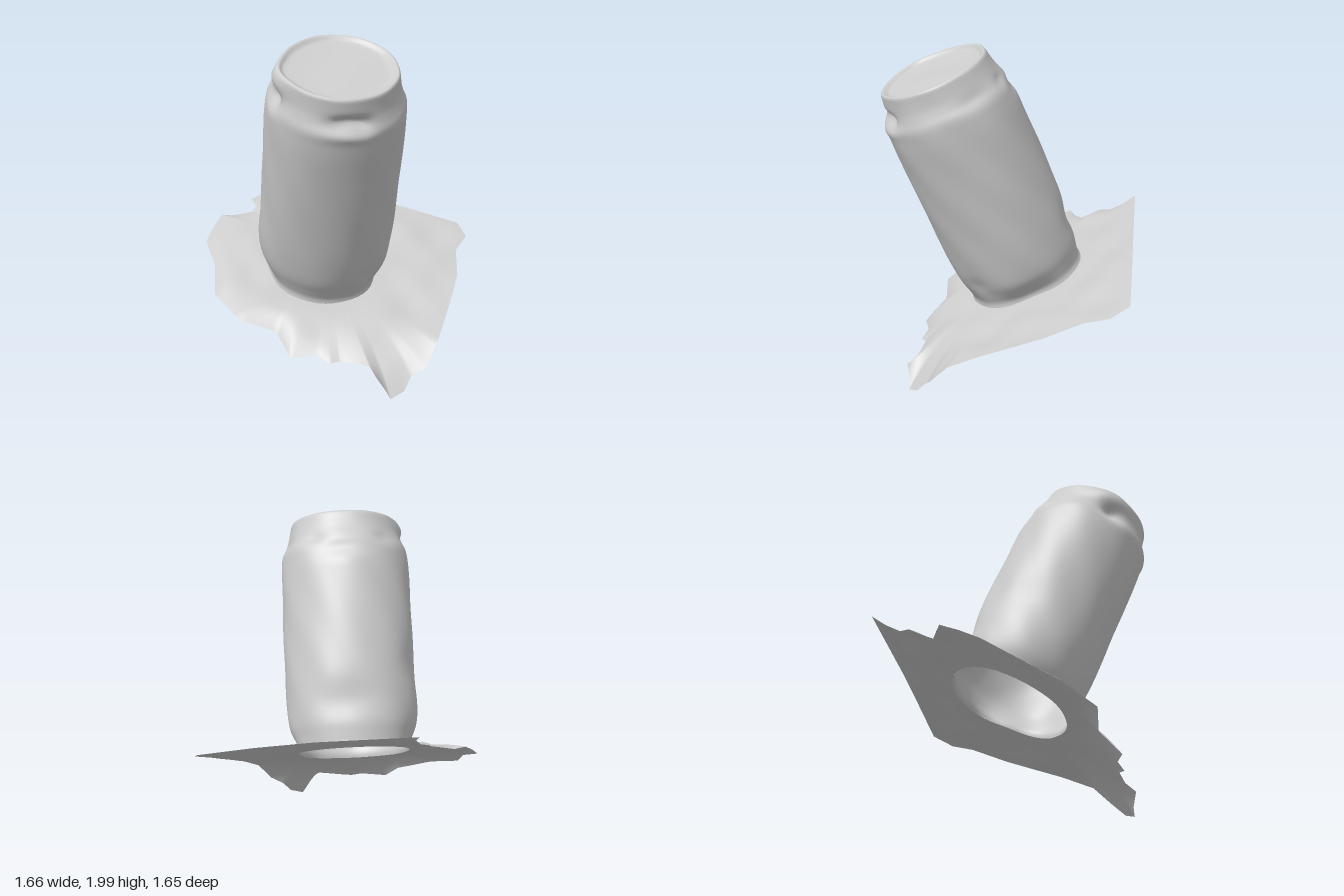
import * as THREE from 'three';
import { mergeVertices } from 'three/addons/utils/BufferGeometryUtils.js';

const material = new THREE.MeshStandardMaterial({ color: 0xcccccc, side: THREE.DoubleSide });

// Leaning frame of the jar: base centre and axis
const base = new THREE.Vector3(-0.095, 0.548, -0.028);
const axis = new THREE.Vector3(0.092, 1.31, 0.56).normalize();
const lean = new THREE.Quaternion().setFromUnitVectors(new THREE.Vector3(0, 1, 0), axis);

const footRadius = 0.36;

// Dents (negative) and bumps (positive): angle, height, angular width, height width, depth
const dents = [
  [1.42, 1.3, 0.28, 0.035, -0.045], [1.2, 1.28, 0.14, 0.035, -0.02],
  [1.45, 1.24, 0.5, 0.035, 0.01], [2.85, 1.28, 0.2, 0.05, -0.05],
  [2.95, 1.39, 0.4, 0.06, 0.035], [-2.3, 1.26, 0.2, 0.04, -0.015],
  [-1.57, 1.2, 0.35, 0.06, -0.02], [-1.1, 1.27, 0.2, 0.04, -0.015],
  [-1.57, 0.27, 0.5, 0.12, -0.025], [-0.4, 1.28, 0.3, 0.04, -0.012],
  [0.9, 0.17, 0.2, 0.06, -0.01], [-2.7, 0.5, 0.3, 0.12, -0.01],
  [0.1, 0, 0.4, 0.08, -0.045], [2.9, 0, 0.5, 0.08, -0.025],
  [3.14, 0.25, 0.5, 0.15, 0.012]
];

function bulge(angle, y) {
  let d = 0.0015 * Math.sin(5 * angle + 4 * y) + 0.0015 * Math.sin(9 * angle - 13 * y);
  for (const [a, h, aw, hw, depth] of dents) {
    const da = Math.atan2(Math.sin(angle - a), Math.cos(angle - a)) / aw;
    const dh = (y - h) / hw;
    d += depth * Math.exp(-da * da - dh * dh);
  }
  return d;
}

// Lathe whose surface is pushed in and out by the dents
function dentedLathe(name, points, samples) {
  const curve = new THREE.CatmullRomCurve3(points.map(([r, y]) => new THREE.Vector3(r, y, 0)));
  const profile = curve.getSpacedPoints(samples).map(p => new THREE.Vector2(Math.max(p.x, 0), p.y));
  let geo = new THREE.LatheGeometry(profile, 96);
  const pos = geo.attributes.position;
  for (let i = 0; i < pos.count; i++) {
    const x = pos.getX(i), y = pos.getY(i), z = pos.getZ(i);
    const r = Math.hypot(x, z);
    const k = 1 + bulge(Math.atan2(z, x), y) / footRadius;
    const ripple = name === 'lid' && r < 0.27 ? 0.008 * Math.sin(9 * x + 7 * z) * (1 - r / 0.27) : 0;
    pos.setXYZ(i, x * k, y + ripple, z * k);
  }
  geo.deleteAttribute('normal');
  geo.deleteAttribute('uv');
  geo = mergeVertices(geo, 1e-5);
  geo.computeVertexNormals();
  const mesh = new THREE.Mesh(geo, material);
  mesh.name = name;
  return mesh;
}

// Ragged edge of the sheet: x, z, y
const edge = [
  [-0.47, -0.82, 0.90], [0.1, -0.655, 0.81], [0.45, -0.555, 0.74], [0.79, -0.455, 0.66],
  [0.83, -0.33, 0.61], [0.75, -0.2, 0.56], [0.735, 0.02, 0.48], [0.69, 0.18, 0.42],
  [0.63, 0.36, 0.35], [0.56, 0.55, 0.26], [0.485, 0.645, 0.14], [0.405, 0.65, 0.10],
  [0.36, 0.71, 0.03], [0.28, 0.75, 0.0], [0.25, 0.74, 0.05], [0.2, 0.75, 0.13],
  [0.16, 0.68, 0.17], [0, 0.62, 0.18], [-0.06, 0.64, 0.17], [-0.13, 0.59, 0.20],
  [-0.29, 0.59, 0.19], [-0.37, 0.45, 0.29], [-0.585, 0.415, 0.35], [-0.745, 0.2, 0.43],
  [-0.76, -0.02, 0.54], [-0.83, -0.23, 0.62], [-0.79, -0.34, 0.68], [-0.745, -0.445, 0.73],
  [-0.68, -0.46, 0.72], [-0.545, -0.475, 0.74], [-0.525, -0.52, 0.765], [-0.56, -0.61, 0.785],
  [-0.48, -0.66, 0.81], [-0.455, -0.75, 0.86]
];

// Height of the tilted sheet, drooping towards the front
const sheetY = (x, z) => base.y - 0.06 * (x - base.x) - 0.43 * (z - base.z)
  - 1.2 * Math.max(0, z - 0.35) ** 2;

// Sheet built as rings running from the jar's foot out to the ragged edge
function buildSheet() {
  const rings = 24, perEdge = 6, cols = edge.length * perEdge;
  const positions = [], index = [];
  const inverse = lean.clone().invert();
  for (let c = 0; c < cols; c++) {
    const a = edge[Math.floor(c / perEdge)];
    const b = edge[(Math.floor(c / perEdge) + 1) % edge.length];
    const f = (c % perEdge) / perEdge;
    const [ex, ez, ey] = a.map((v, i) => v + (b[i] - v) * f);
    const outer = new THREE.Vector3(ex, sheetY(ex, ez), ez);
    const local = outer.clone().sub(base).applyQuaternion(inverse);
    const angle = Math.atan2(local.z, local.x);
    const foot = footRadius + bulge(angle, 0);
    const inner = new THREE.Vector3(Math.cos(angle) * foot, 0, Math.sin(angle) * foot)
      .applyQuaternion(lean).add(base);
    const innerGap = inner.y - sheetY(inner.x, inner.z);
    for (let r = 0; r <= rings; r++) {
      const t = r / rings;
      const x = inner.x + (ex - inner.x) * t;
      const z = inner.z + (ez - inner.z) * t;
      const wave = Math.sin(9 * x + 4 * z) * Math.sin(8 * z - 5 * x + 1)
        + 0.7 * Math.sin(17 * x - 6) * Math.sin(15 * z);
      const y = sheetY(x, z) + innerGap * (1 - t) + (ey - outer.y) * t ** 4
        + 0.035 * t * (1 - t) * wave;
      positions.push(x, y, z);
    }
  }
  const row = rings + 1;
  for (let c = 0; c < cols; c++) {
    const n = (c + 1) % cols;
    for (let r = 0; r < rings; r++) {
      const i = c * row + r, j = n * row + r;
      index.push(i, j, i + 1, j, j + 1, i + 1);
    }
  }
  const geo = new THREE.BufferGeometry();
  geo.setAttribute('position', new THREE.Float32BufferAttribute(positions, 3));
  geo.setIndex(index);
  geo.computeVertexNormals();
  const mesh = new THREE.Mesh(geo, material);
  mesh.name = 'groundSheet';
  return mesh;
}

export function createModel() {
  const model = new THREE.Group();
  model.name = 'jarOnSheet';

  // Leaning jar, open underneath
  const jar = new THREE.Group();
  jar.name = 'jar';
  jar.position.copy(base);
  jar.quaternion.copy(lean);
  jar.add(dentedLathe('jarBody', [
    [footRadius, 0], [0.354, 0.025], [0.364, 0.08], [0.383, 0.16], [0.394, 0.3], [0.398, 0.6],
    [0.397, 0.9], [0.394, 1.15], [0.385, 1.24], [0.364, 1.29], [0.348, 1.33], [0.338, 1.37], [0.33, 1.415]
  ], 110));

  // Lid with a rounded rim and a shallow sunken disc
  jar.add(dentedLathe('lid', [
    [0.33, 1.415], [0.326, 1.43], [0.316, 1.438], [0.302, 1.43], [0.285, 1.418], [0.2, 1.412], [0.1, 1.412], [0, 1.412]
  ], 40));
  model.add(jar);

  // Crumpled sheet around the jar's foot
  model.add(buildSheet());
  return model;
}
